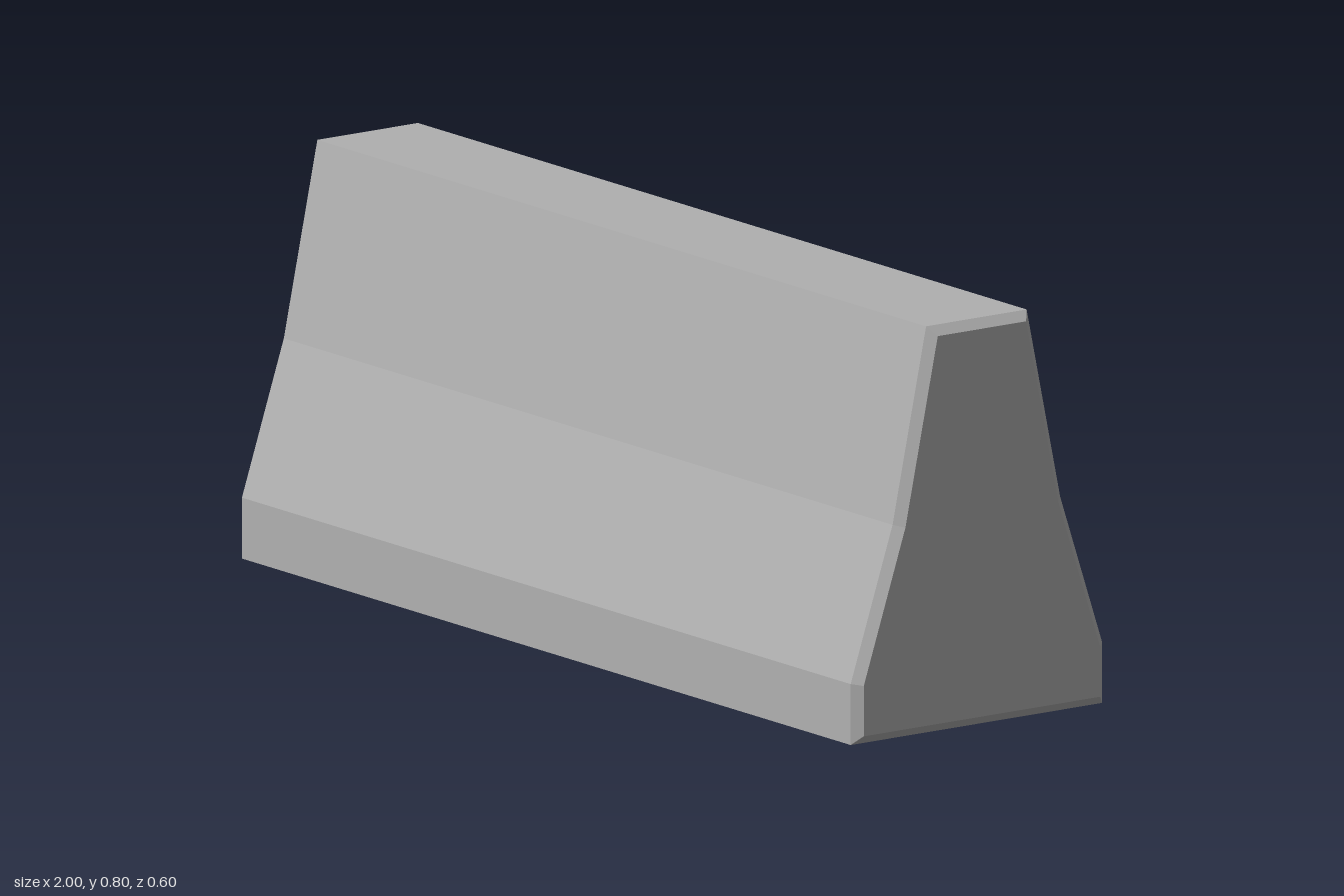
import * as THREE from 'three';

export function createModel() {
  const group = new THREE.Group();
  group.name = 'concreteBarrier';

  const concrete = new THREE.MeshStandardMaterial({ color: 0xb0b0b0 });
  concrete.name = 'concrete grey';

  // Right half of the cross-section, mirrored for the left half
  const half = [[0.3, 0], [0.3, 0.12], [0.2, 0.42], [0.12, 0.8]];
  const outline = [...half, ...half.map(([x, y]) => [-x, y]).reverse()];
  const profile = new THREE.Shape(outline.map(([x, y]) => new THREE.Vector2(x, y)));

  // Long block with chamfered ends; the offset keeps the chamfer inside the profile
  const length = 2;
  const chamfer = 0.018;
  const geometry = new THREE.ExtrudeGeometry(profile, {
    depth: length - 2 * chamfer,
    bevelEnabled: true,
    bevelThickness: chamfer,
    bevelSize: chamfer,
    bevelOffset: -chamfer,
    bevelSegments: 1,
  });
  geometry.translate(0, 0, chamfer - length / 2);
  geometry.rotateY(Math.PI / 2);

  const body = new THREE.Mesh(geometry, concrete);
  body.name = 'barrierBody';
  group.add(body);
  return group;
}
